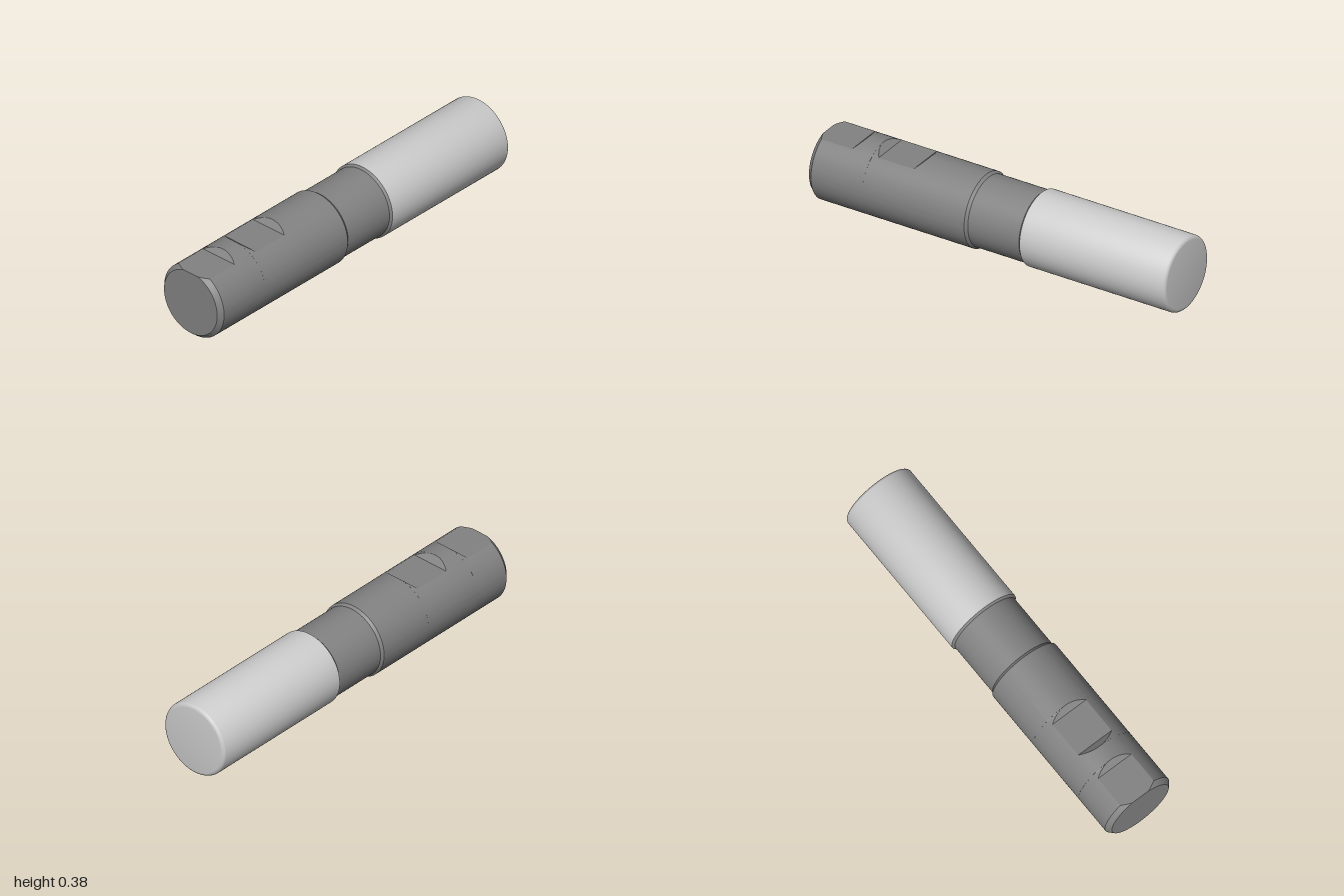
import * as THREE from 'three';
import { toCreasedNormals } from 'three/addons/utils/BufferGeometryUtils.js';

const R = 0.1915;        // main radius, also height of the axis
const NECK = 0.181;      // relieved middle radius
const FLAT = 0.1635;     // height of the clamping flats above the axis
const CREASE = 0.4;

// Turned part along z; profile is [z, radius] from back to front
function turned(profile) {
  const g = new THREE.LatheGeometry(profile.map(([z, r]) => new THREE.Vector2(r, z)), 96);
  g.rotateX(Math.PI / 2);
  return toCreasedNormals(g, CREASE);
}

// Shank: a cylinder with two ramped flats on top, lofted from sections along z
function shankGeometry() {
  const TOP = 10, SIDE = 110, N = TOP + SIDE;
  const mix = (a, b, t) => a + (b - a) * t;
  const sections = [];
  const add = (z, h, r = R) => sections.push({ z, h, r });
  // ramp sections are packed toward the tip, where the cut widens fastest
  const rampDown = (z0, z1) => {
    for (let i = 0; i <= 10; i++) add(mix(z0, z1, (i / 10) ** 2), mix(R, FLAT, (i / 10) ** 2));
  };
  const rampUp = (z0, z1) => {
    for (let i = 10; i >= 0; i--) add(mix(z1, z0, (i / 10) ** 2), mix(R, FLAT, (i / 10) ** 2));
  };
  add(0.12, R);
  rampDown(0.43, 0.46);
  rampUp(0.655, 0.69);
  rampDown(0.775, 0.805);
  // front chamfer
  for (let i = 0; i <= 6; i++) add(mix(0.975, 1, i / 6), FLAT, mix(R, 0.17, i / 6));

  const points = [];
  for (const { z, h, r } of sections) {
    const a = Math.acos(Math.min(1, h / r));
    for (let j = 0; j < TOP; j++) {
      points.push(new THREE.Vector3(r * Math.sin(a) * (2 * j / TOP - 1), Math.min(h, r), z));
    }
    for (let j = 0; j < SIDE; j++) {
      const t = mix(a, 2 * Math.PI - a, j / SIDE);
      points.push(new THREE.Vector3(r * Math.sin(t), r * Math.cos(t), z));
    }
  }
  points.push(new THREE.Vector3(0, 0, 1));

  const index = [], tri = new THREE.Triangle();
  const face = (a, b, c) => {
    tri.set(points[a], points[b], points[c]);
    if (tri.getArea() > 1e-10) index.push(a, b, c);
  };
  for (let i = 0; i < sections.length - 1; i++) {
    for (let j = 0; j < N; j++) {
      const a = i * N + j, b = i * N + (j + 1) % N;
      face(a, a + N, b);
      face(b, a + N, b + N);
    }
  }
  // front end face
  const last = (sections.length - 1) * N;
  for (let j = 0; j < N; j++) face(points.length - 1, last + (j + 1) % N, last + j);

  const g = new THREE.BufferGeometry().setFromPoints(points);
  g.setIndex(index);
  return toCreasedNormals(g, CREASE);
}

export function createModel() {
  const model = new THREE.Group();
  model.name = 'toolBlank';
  const dark = new THREE.MeshStandardMaterial({ color: 0x828282 });
  const light = new THREE.MeshStandardMaterial({ color: 0xcccccc });
  const part = (name, geometry, material) => {
    const mesh = new THREE.Mesh(geometry, material);
    mesh.name = name;
    mesh.position.y = R;
    model.add(mesh);
  };

  part('shank', shankGeometry(), dark);

  // Relieved neck with a small shoulder at each end
  part('neck', turned([[-0.19, R], [-0.18, NECK], [0.106, NECK], [0.12, R]]), dark);

  // Cutting-end body with a rounded rear edge
  const fillet = 0.02;
  const body = [[-1, 0]];
  for (let i = 0; i <= 6; i++) {
    const t = (i / 6) * Math.PI / 2;
    body.push([-1 + fillet * (1 - Math.cos(t)), R - fillet * (1 - Math.sin(t))]);
  }
  body.push([-0.19, R]);
  part('cuttingBody', turned(body), light);

  return model;
}
